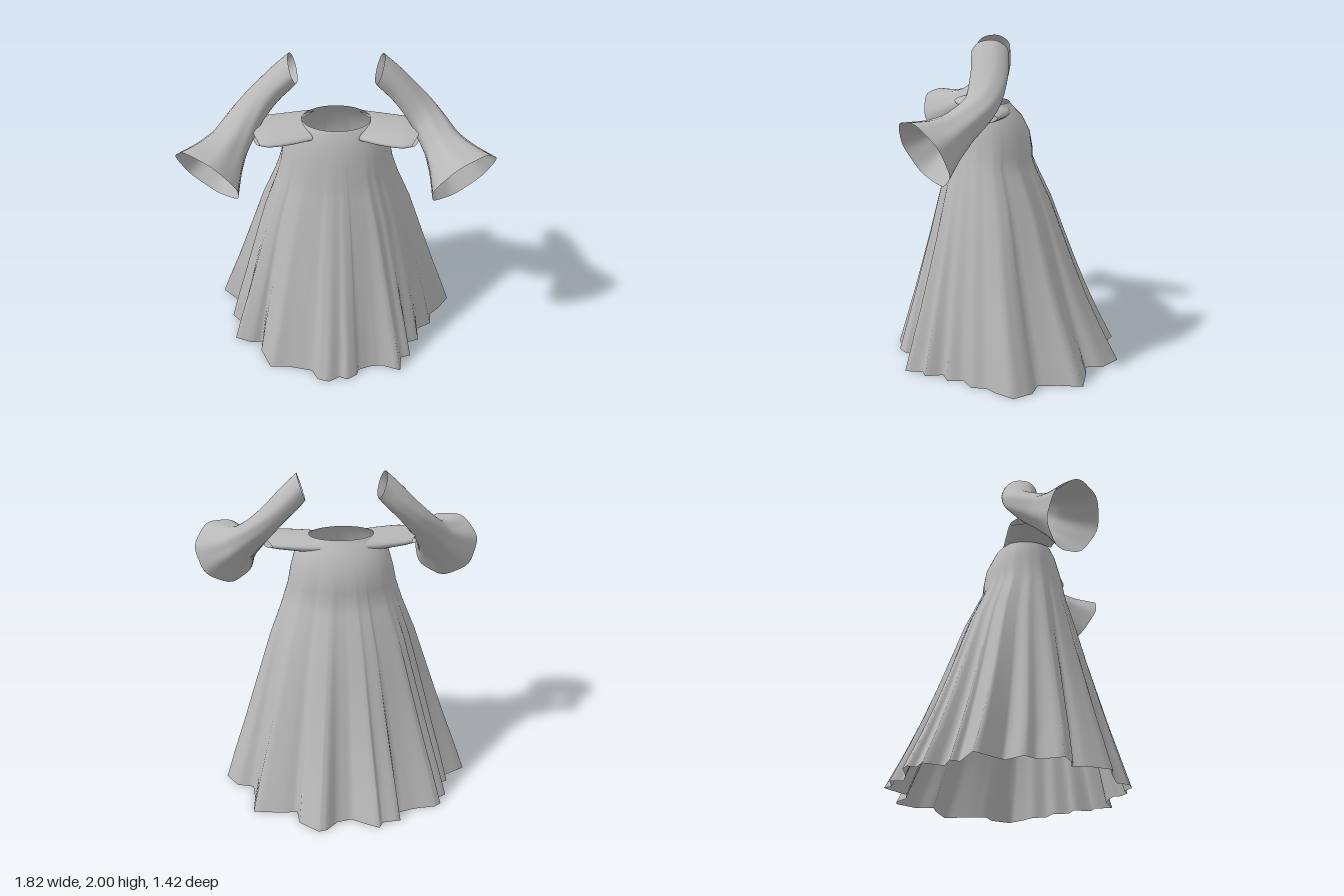
import * as THREE from 'three';

const cloth = new THREE.MeshStandardMaterial({ color: 0xb8b8b8, side: THREE.DoubleSide });
cloth.name = 'grey cloth';

// Skin a list of closed rings (arrays of [x, y, z]) with a smooth open surface
function loft(name, rings) {
  const n = rings[0].length, index = [];
  for (let j = 0; j < rings.length - 1; j++) {
    for (let i = 0; i < n; i++) {
      const k = (i + 1) % n;
      const a = j * n + i, b = j * n + k, c = b + n, d = a + n;
      index.push(a, b, c, a, c, d);
    }
  }
  const geo = new THREE.BufferGeometry();
  geo.setAttribute('position', new THREE.Float32BufferAttribute(rings.flat(2), 3));
  geo.setIndex(index);
  geo.computeVertexNormals();
  const mesh = new THREE.Mesh(geo, cloth);
  mesh.name = name;
  return mesh;
}

// Flowing tube through stations { c: centre, n: facing, r: [width, height, fold depth], bow: inward pull of the sides }
function flowingTube(name, stations, side, steps) {
  const curve = key => new THREE.CatmullRomCurve3(stations.map(s => new THREE.Vector3(...s[key])));
  const [centres, facings, radii] = ['c', 'n', 'r'].map(curve);
  const bows = new THREE.CatmullRomCurve3(stations.map((s, i) => new THREE.Vector3(i, s.bow, 0)));
  const up = new THREE.Vector3(0, 1, 0), rings = [];
  for (let j = 0; j <= steps; j++) {
    const t = j / steps;
    const c = centres.getPoint(t), n = facings.getPoint(t).normalize(), r = radii.getPoint(t);
    const bow = bows.getPoint(t).y;
    const s = n.clone().cross(up).normalize(), v = n.clone().cross(s);
    const ring = [];
    for (let i = 0; i < 48; i++) {
      const a = i / 48 * Math.PI * 2, f = 1 + r.z * Math.cos(7 * a + 0.6);
      const p = c.clone().addScaledVector(s, r.x * f * Math.cos(a)).addScaledVector(v, r.y * f * Math.sin(a));
      p.x -= bow * Math.cos(a) ** 2;
      ring.push([p.x * side, p.y, p.z]);
    }
    rings.push(side < 0 ? ring.reverse() : ring);
  }
  return loft(name, rings);
}

// Pleated hem outline [x, z], starting at the front and passing the +x side
const hem = [
  [-0.04, 0.71], [0.03, 0.67], [0.08, 0.69], [0.14, 0.65], [0.15, 0.61], [0.22, 0.58], [0.30, 0.57],
  [0.42, 0.61], [0.43, 0.50], [0.49, 0.48], [0.47, 0.37], [0.55, 0.34], [0.55, 0.24], [0.64, 0.19],
  [0.65, 0.10], [0.71, 0.04], [0.78, -0.06], [0.71, -0.17], [0.61, -0.20], [0.60, -0.32], [0.61, -0.47],
  [0.43, -0.50], [0.34, -0.50], [0.33, -0.61], [0.22, -0.71], [0.17, -0.70], [0.10, -0.63], [0.01, -0.61],
  [-0.05, -0.65], [-0.15, -0.71], [-0.18, -0.66], [-0.29, -0.65], [-0.29, -0.57], [-0.40, -0.54],
  [-0.53, -0.53], [-0.57, -0.50], [-0.55, -0.45], [-0.62, -0.41], [-0.56, -0.30], [-0.66, -0.26],
  [-0.63, -0.21], [-0.80, -0.12], [-0.70, -0.03], [-0.64, 0.03], [-0.71, 0.13], [-0.64, 0.20],
  [-0.67, 0.34], [-0.56, 0.38], [-0.49, 0.37], [-0.49, 0.45], [-0.42, 0.59], [-0.30, 0.59],
  [-0.15, 0.62], [-0.11, 0.69],
];

// Skirt silhouette: [height, half width, front z, back z]
const profile = [
  [0, 0.79, 0.71, -0.71], [0.2, 0.725, 0.65, -0.61], [0.4, 0.655, 0.59, -0.52], [0.6, 0.59, 0.535, -0.44],
  [0.8, 0.525, 0.48, -0.365], [1.0, 0.46, 0.43, -0.29], [1.2, 0.38, 0.375, -0.195], [1.26, 0.36, 0.36, -0.17],
  [1.32, 0.34, 0.35, -0.168], [1.42, 0.32, 0.33, -0.15], [1.52, 0.29, 0.305, -0.10],
  [1.58, 0.245, 0.28, -0.04], [1.61, 0.20, 0.26, -0.02],
];

function skirt() {
  // Subdivide the hem, keeping each point's angle and its depth inside the silhouette
  const pleats = [];
  hem.forEach(([x, z], i) => {
    const [x2, z2] = hem[(i + 1) % hem.length];
    for (let k = 0; k < 3; k++) {
      const u = (x + (x2 - x) * k / 3) / 0.79, w = (z + (z2 - z) * k / 3) / 0.71;
      pleats.push([Math.atan2(w, u), Math.hypot(u, w)]);
    }
  });
  const rings = profile.map(([y, hx, front, back]) => {
    const fade = Math.max(0, 1 - y / 1.5);
    const mid = (front + back) / 2, hz = (front - back) / 2;
    return pleats.map(([a, depth]) => {
      const f = 1 + (depth - 1) * fade;
      return [hx * f * Math.cos(a), y, mid + hz * f * Math.sin(a)];
    });
  });
  return loft('pleatedSkirt', rings);
}

// Bell sleeve, bending forward from the shoulder to a wide mouth
const sleeve = [
  { c: [0.245, 1.92, 0.087], n: [0.95, -0.30, 0], r: [0.108, 0.083, 0.01], bow: 0 },
  { c: [0.37, 1.795, 0.088], n: [0.70, -0.72, 0.02], r: [0.108, 0.078, 0.01], bow: 0 },
  { c: [0.50, 1.655, 0.13], n: [0.60, -0.70, 0.35], r: [0.105, 0.084, 0.02], bow: 0 },
  { c: [0.60, 1.535, 0.245], n: [0.52, -0.52, 0.68], r: [0.115, 0.105, 0.03], bow: 0 },
  { c: [0.66, 1.475, 0.33], n: [0.52, -0.46, 0.72], r: [0.155, 0.14, 0.03], bow: 0 },
  { c: [0.725, 1.415, 0.43], n: [0.52, -0.45, 0.72], r: [0.217, 0.205, 0.02], bow: 0 },
];

// Flat flaring wing, its root sloped and wrapped to the waist and its tip rounded
const wing = [
  { c: [0.245, 1.565, 0.125], n: [1, 1, 0], r: [0.155, 0.062, 0], bow: 0.11 },
  { c: [0.32, 1.564, 0.16], n: [1, 0.4, 0], r: [0.165, 0.046, 0], bow: 0.06 },
  { c: [0.41, 1.565, 0.185], n: [1, 0, 0], r: [0.165, 0.038, 0], bow: 0.04 },
  { c: [0.48, 1.567, 0.19], n: [1, 0, 0], r: [0.15, 0.03, 0], bow: 0.05 },
];

export function createModel() {
  const model = new THREE.Group();
  model.name = 'gown';
  model.add(skirt());
  for (const [label, side] of [['left', 1], ['right', -1]]) {
    model.add(flowingTube(label + 'Sleeve', sleeve, side, 30));
    model.add(flowingTube(label + 'WaistWing', wing, side, 12));
  }
  return model;
}
